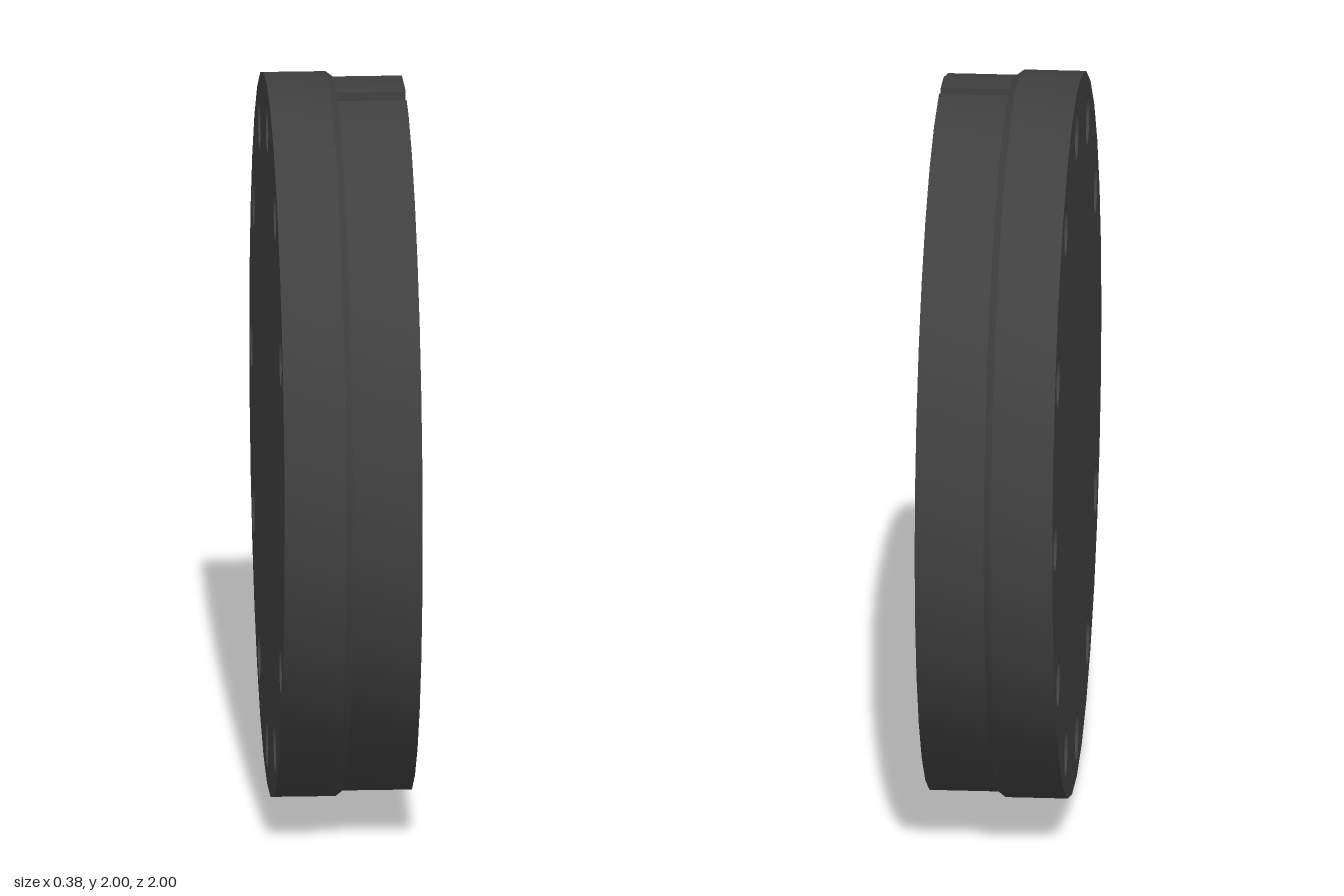
import * as THREE from 'three';
import { toCreasedNormals } from 'three/addons/utils/BufferGeometryUtils.js';

const TAU = Math.PI * 2;
const BACK = -0.19, FRONT = 0.19, STEP = -0.02, MID = 0;
const R_BACK = 1, R_FRONT = 0.985, SIDES = 32;
const HOLE_RING = 0.88, HOLE_R = 0.07, BLIND_FLOOR = 0.02;
const POCKET_R = 0.565, LOBE_RING = 0.455, LOBE_R = 0.147;
const POCKET_FLOOR = FRONT - 0.09, LOBE_FLOOR = FRONT - 0.105;

const material = new THREE.MeshStandardMaterial({ color: 0x404040 });

// Points along an arc, ends included
function arc(cx, cy, r, a0, a1, n) {
  return Array.from({ length: n + 1 }, (_, i) => {
    const a = a0 + (a1 - a0) * i / n;
    return new THREE.Vector2(cx + r * Math.cos(a), cy + r * Math.sin(a));
  });
}
const circle = (cx, cy, r, n, start = 0) => arc(cx, cy, r, start, start + TAU, n).slice(0, n);

// Closed band between two counter-clockwise outlines; inward turns it to face the axis
function band(lower, z0, upper, z1, inward = false) {
  const pos = [];
  const n = lower.length;
  for (let i = 0; i < n; i++) {
    const j = (i + 1) % n;
    const a = [lower[i].x, lower[i].y, z0], b = [lower[j].x, lower[j].y, z0];
    const c = [upper[j].x, upper[j].y, z1], d = [upper[i].x, upper[i].y, z1];
    pos.push(...(inward ? [a, c, b, a, d, c] : [a, b, c, a, c, d]).flat());
  }
  const g = new THREE.BufferGeometry();
  g.setAttribute('position', new THREE.Float32BufferAttribute(pos, 3));
  return toCreasedNormals(g, 0.5);
}

// Flat face with cut-outs, facing along the axis or backwards
function face(outline, z, holes = [], backwards = false) {
  const shape = new THREE.Shape(outline);
  shape.holes = holes.map((h) => new THREE.Path(h));
  const g = new THREE.ShapeGeometry(shape);
  if (backwards) {
    const idx = g.index.array;
    for (let i = 0; i < idx.length; i += 3) [idx[i + 1], idx[i + 2]] = [idx[i + 2], idx[i + 1]];
    g.computeVertexNormals();
  }
  return g.translate(0, 0, z);
}

// Pocket outline: a circle whose three lobes bulge out, or bite in for the floor
function pocketOutline(biteIn) {
  const beta = Math.acos((POCKET_R ** 2 + LOBE_RING ** 2 - LOBE_R ** 2) / (2 * POCKET_R * LOBE_RING));
  const gamma = Math.atan2(POCKET_R * Math.sin(beta), POCKET_R * Math.cos(beta) - LOBE_RING);
  const pts = [];
  for (let k = 0; k < 3; k++) {
    const phi = Math.PI / 6 + k * TAU / 3;
    const end = phi + gamma - (biteIn ? TAU : 0);
    pts.push(...arc(LOBE_RING * Math.cos(phi), LOBE_RING * Math.sin(phi), LOBE_R, phi - gamma, end, 20).slice(0, -1));
    pts.push(...arc(0, 0, POCKET_R, phi + beta, phi + TAU / 3 - beta, 28).slice(0, -1));
  }
  return pts;
}

export function createModel() {
  const model = new THREE.Group();
  model.name = 'flangeCover';
  const disc = new THREE.Group();
  disc.name = 'disc';
  const add = (name, geometry) => {
    const mesh = new THREE.Mesh(geometry, material);
    mesh.name = name;
    disc.add(mesh);
  };

  // Rims: a wider back half, a small chamfer and a narrower front half with a notch
  const backRim = circle(0, 0, R_BACK, SIDES, Math.PI / 2);
  const midRim = circle(0, 0, R_FRONT, SIDES, Math.PI / 2);
  const notch = [[-0.02, 0.983], [-0.02, 0.955], [-0.08, 0.955], [-0.08, 0.977]]
    .map(([x, y]) => new THREE.Vector2(x, y));
  const frontRim = [...midRim.slice(1), midRim[0], ...notch];
  add('backRim', band(backRim, BACK, backRim, STEP));
  add('rimChamfer', band(backRim, STEP, midRim, MID));
  add('frontRim', band(frontRim, MID, frontRim, FRONT));
  add('notchEnd', face(notch, MID));

  // Bolt holes: eleven go through, the one at the front is blind with a rounded end
  const holes = [], throughHoles = [];
  for (let i = 0; i < 12; i++) {
    const a = i * TAU / 12;
    const cx = HOLE_RING * Math.cos(a), cy = HOLE_RING * Math.sin(a);
    const hole = circle(cx, cy, HOLE_R, 32);
    holes.push(hole);
    if (i === 6) {
      add('blindHole', band(hole, BLIND_FLOOR, hole, FRONT, true));
      const bowl = new THREE.LatheGeometry(arc(0, 0, HOLE_R, 0, -Math.PI / 2, 8), 32);
      add('blindHoleEnd', bowl.rotateX(Math.PI / 2).translate(cx, cy, BLIND_FLOOR));
    } else {
      throughHoles.push(hole);
      add('boltHole', band(hole, BACK, hole, FRONT, true));
    }
  }

  // Flat faces
  const pocket = pocketOutline(false);
  add('frontFace', face(frontRim, FRONT, [pocket, ...holes]));
  add('backFace', face(backRim, BACK, throughHoles, true));

  // Shallow pocket with three slightly deeper round recesses
  add('pocketWall', band(pocket, POCKET_FLOOR, pocket, FRONT, true));
  add('pocketFloor', face(pocketOutline(true), POCKET_FLOOR));
  for (let k = 0; k < 3; k++) {
    const phi = Math.PI / 6 + k * TAU / 3;
    const lobe = circle(LOBE_RING * Math.cos(phi), LOBE_RING * Math.sin(phi), LOBE_R, 48);
    add('recessWall', band(lobe, LOBE_FLOOR, lobe, POCKET_FLOOR, true));
    add('recessFloor', face(lobe, LOBE_FLOOR));
  }

  // Stand the disc on its rim, pocket towards +x
  disc.rotation.y = Math.PI / 2;
  disc.position.y = 1;
  model.add(disc);
  return model;
}
